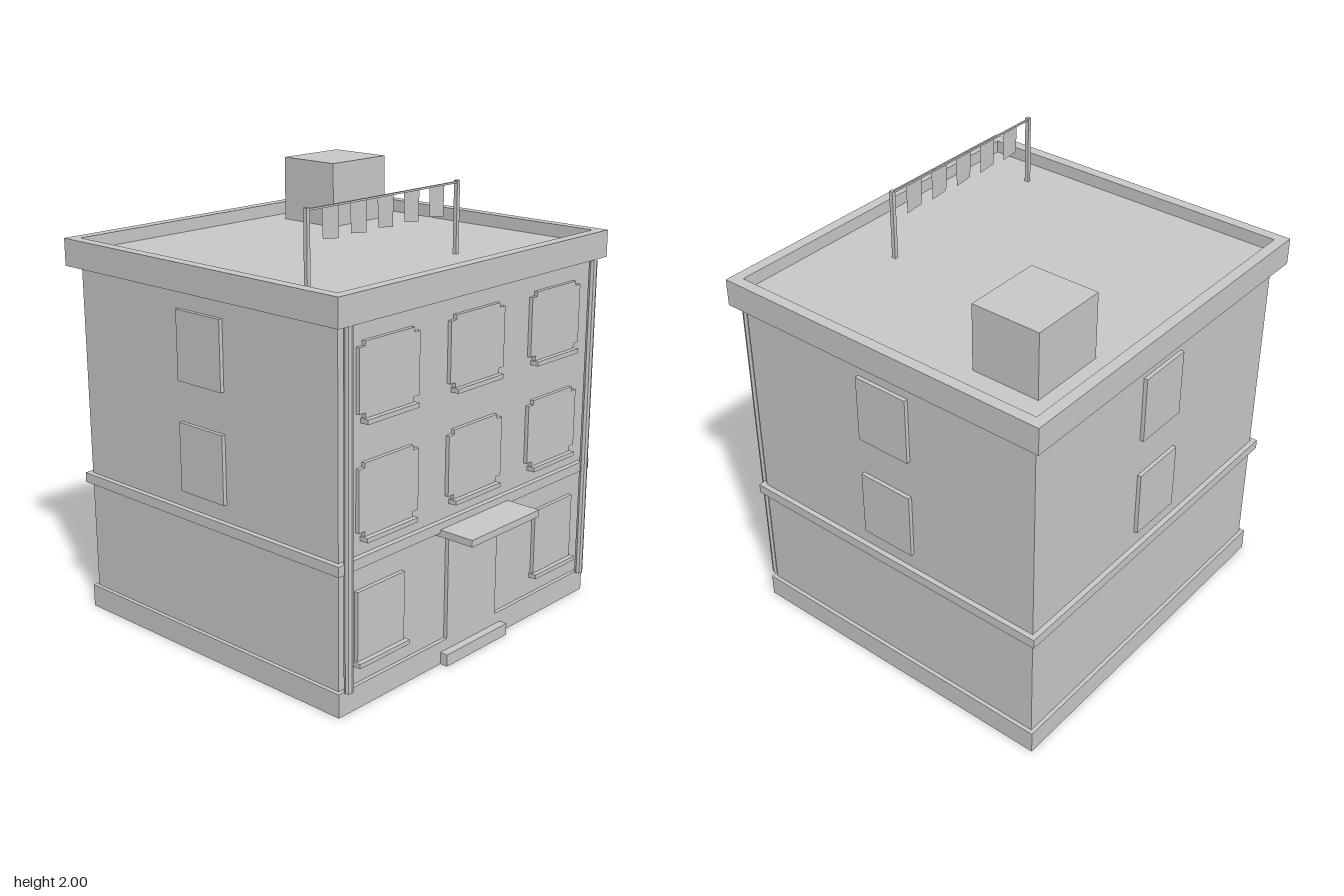
import * as THREE from 'three';

export function createModel() {
  const model = new THREE.Group();
  model.name = 'building';
  const grey = new THREE.MeshStandardMaterial({ color: 0xc8c8c8, side: THREE.DoubleSide });
  grey.name = 'plain grey';

  const add = (name, geometry, x = 0, y = 0, z = 0) => {
    const mesh = new THREE.Mesh(geometry, grey);
    mesh.name = name;
    mesh.position.set(x, y, z);
    model.add(mesh);
    return mesh;
  };
  // Box shell given by its limits on each axis, open below and if wanted on top
  const box = (name, x0, x1, y0, y1, z0, z1, openTop = false) => {
    const geometry = new THREE.BoxGeometry(x1 - x0, y1 - y0, z1 - z0);
    const index = [...geometry.index.array];
    index.splice(openTop ? 12 : 18, openTop ? 12 : 6);
    geometry.setIndex(index);
    geometry.clearGroups();
    return add(name, geometry, (x0 + x1) / 2, (y0 + y1) / 2, (z0 + z1) / 2);
  };
  const polygon = (points) => new THREE.Shape(points.map(([x, y]) => new THREE.Vector2(x, y)));

  // Footprint of the walls
  const W = 0.828, FRONT = 0.693, BACK = -0.834, MID = (FRONT + BACK) / 2;
  const slab = (name, out, y0, y1, openTop) =>
    box(name, -W - out, W + out, y0, y1, BACK - out, FRONT + out, openTop);

  // Walls, base course and floor band
  slab('walls', 0, 0.105, 1.618);
  slab('baseCourse', 0.018, 0, 0.105);
  slab('floorBand', 0.024, 0.615, 0.66);

  // Parapet: outer face, flat rim, inner face, and the sunken roof
  const TOP = 1.74, ROOF = 1.682, halfDepth = (FRONT - BACK) / 2;
  slab('parapetOuter', 0.05, 1.618, TOP, true);
  slab('parapetInner', 0, ROOF, TOP, true);
  const ring = (w, d) => polygon([[-w, -d], [w, -d], [w, d], [-w, d]]);
  const rim = ring(W + 0.05, halfDepth + 0.05);
  rim.holes.push(ring(W, halfDepth));
  add('parapetRim', new THREE.ShapeGeometry(rim), 0, TOP, MID).rotation.x = -Math.PI / 2;
  add('roof', new THREE.PlaneGeometry(2 * W, 2 * halfDepth), 0, ROOF, MID).rotation.x = -Math.PI / 2;

  // Upper front windows with notched corners, and their sills
  const a = 0.178, b = 0.144, H = 0.307;
  const notched = polygon([
    [-b, 0], [b, 0], [b, 0.022], [a, 0.022], [a, H - 0.02], [b, H - 0.02],
    [b, H], [-b, H], [-b, H - 0.02], [-a, H - 0.02], [-a, 0.022], [-b, 0.022],
  ]);
  const sill = (x, y) => box('windowSill', x - 0.152, x + 0.152, y - 0.02, y, FRONT, FRONT + 0.04);
  for (const y of [0.738, 1.226]) {
    for (const x of [-0.55, 0, 0.55]) {
      add('upperWindow', new THREE.ExtrudeGeometry(notched, { depth: 0.018, bevelEnabled: false }),
        x, y, FRONT);
      sill(x, y);
    }
    // Plain windows on the sides and back
    for (const [x0, x1] of [[-W - 0.018, -W], [W, W + 0.018]]) {
      box('sideWindow', x0, x1, y, y + H, MID - 0.131, MID + 0.131);
    }
    box('backWindow', -0.131, 0.131, y, y + H, BACK - 0.018, BACK);
  }

  // Ground floor windows and corner drainpipes
  for (const s of [-1, 1]) {
    const x = s * 0.593;
    box('groundWindow', x - 0.142, x + 0.142, 0.208, 0.512, FRONT, FRONT + 0.018);
    sill(x, 0.208);
    const pipe = new THREE.CylinderGeometry(0.019, 0.019, 1.513, 8, 1, true).toNonIndexed();
    pipe.computeVertexNormals();
    add('drainpipe', pipe, s * 0.803, 0.8615, 0.7235);
  }

  // Entrance
  box('door', -0.168, 0.168, 0.105, 0.576, FRONT, FRONT + 0.018);
  box('doorCanopy', -0.232, 0.232, 0.598, 0.629, FRONT, 0.885);
  box('doorStep', -0.209, 0.209, 0, 0.055, FRONT, 0.748);

  // Roof hut
  box('roofHut', 0.319, 0.68, ROOF, 1.98, -0.728, -0.41);

  // Clothes line with hanging cloths
  const lineZ = 0.395, lineX = -0.2245;
  for (const s of [-1, 1]) {
    const x = lineX + s * 0.4575;
    box('linePost', x - 0.009, x + 0.009, ROOF, 2, lineZ - 0.009, lineZ + 0.009);
  }
  box('line', lineX - 0.456, lineX + 0.456, 1.987, 1.995, lineZ - 0.004, lineZ + 0.004);
  const cloth = polygon([[-0.045, -0.125], [0.045, -0.134], [0.048, 0], [-0.05, 0]]);
  for (let i = -2; i <= 2; i++) {
    add('hangingCloth', new THREE.ShapeGeometry(cloth), lineX + i * 0.162, 1.99, lineZ);
  }

  return model;
}
